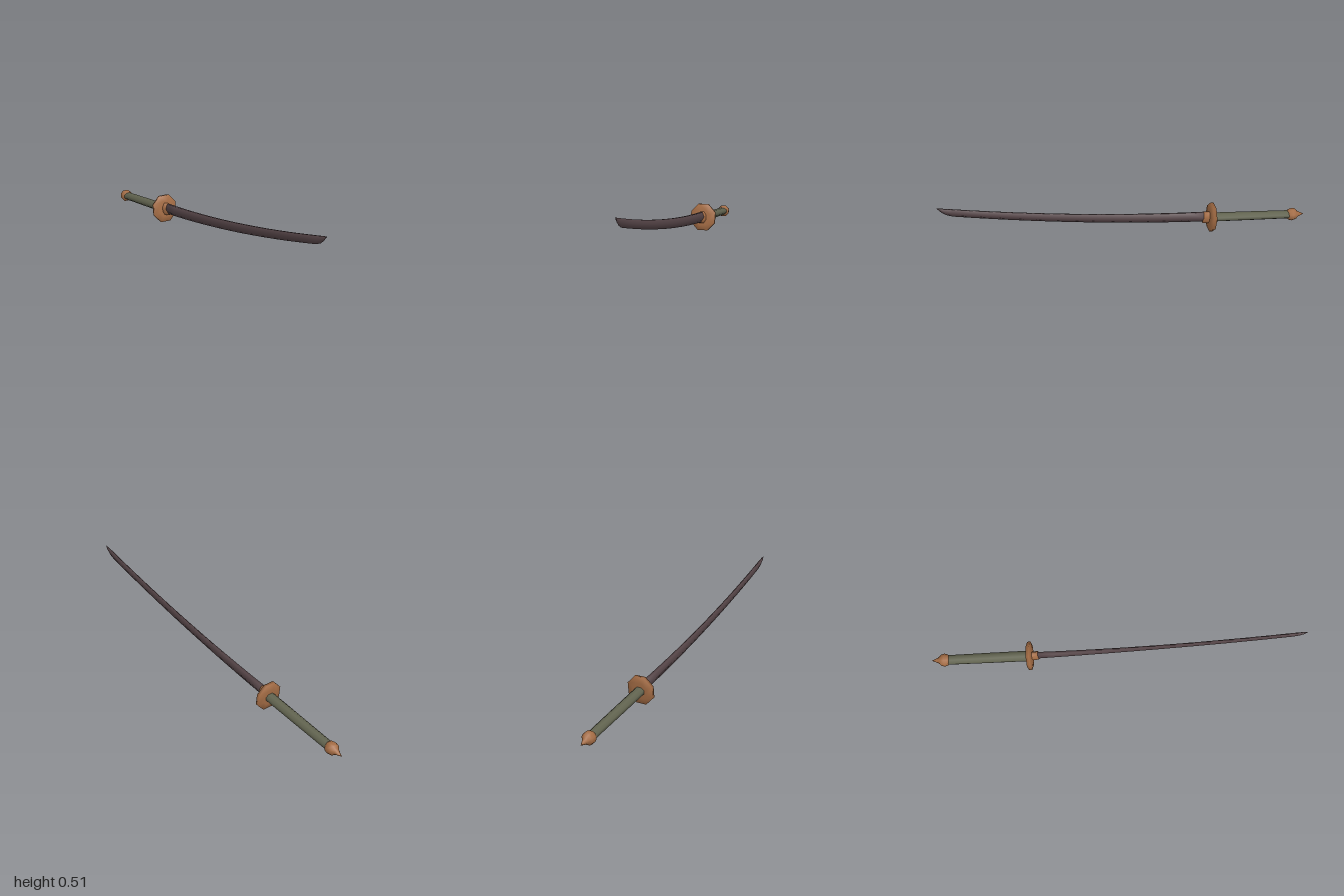
import * as THREE from 'three';

const mat = (name, color) => {
  const m = new THREE.MeshStandardMaterial({ color });
  m.name = name;
  return m;
};

export function createModel() {
  const steel = mat('dark steel', 0x574649);
  const wrap = mat('olive grip', 0x61634f);
  const copper = mat('copper', 0xa56d45);

  const sword = new THREE.Group();
  sword.name = 'sword';
  sword.rotation.y = -Math.atan2(1, 0.955); // lies along the diagonal

  // Hilt frame: origin at the guard, +x towards the blade
  const hilt = new THREE.Group();
  hilt.name = 'hilt';
  hilt.position.set(-0.637, 0.118, 0.014);
  hilt.rotation.z = Math.atan(0.11);
  sword.add(hilt);

  // Eight-sided part turned around the hilt's axis; points are [radius, position]
  const turned = (name, points, material, scaleY = 1, scaleZ = 1) => {
    const g = new THREE.LatheGeometry(points.map(([r, x]) => new THREE.Vector2(r, x)), 8, Math.PI / 8);
    g.rotateZ(-Math.PI / 2);
    g.scale(1, scaleY, scaleZ);
    const mesh = new THREE.Mesh(g, material);
    mesh.name = name;
    hilt.add(mesh);
  };
  turned('grip', [[0.032, -0.64], [0.034, -0.3], [0.035, 0]], wrap, 0.95, 1.15);
  turned('guard', [[0, -0.022], [0.065, -0.021], [0.113, -0.012], [0.113, 0.012], [0.065, 0.021], [0, 0.022]], copper, 1, 0.93);
  turned('collar', [[0.05, 0.01], [0.047, 0.067], [0, 0.068]], copper, 1, 0.62);
  turned('pommel', [[0, -0.752], [0.022, -0.7], [0.043, -0.678], [0.049, -0.652], [0.042, -0.626], [0.024, -0.608], [0, -0.606]], copper);

  // Curved blade: loft of five-sided sections, the edge sweeping up at the tip
  const spine = (s) => 0.24 + 0.1448 * s + 0.0355 * s * s;
  const bow = (s) => 0.014 * (1 - ((s + 0.6) / 1.984) ** 2);
  const stations = [];
  for (let i = 0; i <= 14; i++) {
    const t = i / 14;
    stations.push([-0.59 + t * 1.87, 0.081 - 0.022 * t, 0.012 + 0.014 * (1 - t) ** 3]);
  }
  stations.push([1.325, 0.049, 0.011], [1.355, 0.031, 0.008], [1.384, 0.002, 0.001]);
  const pos = [];
  const index = [];
  stations.forEach(([s, h, w], i) => {
    const y = spine(s), z = bow(s);
    pos.push(s, y, z + w * 0.45, s, y, z - w * 0.45, s, y - h * 0.48, z - w, s, y - h, z, s, y - h * 0.48, z + w);
    if (i === 0) return;
    for (let k = 0; k < 5; k++) {
      const a = (i - 1) * 5 + k, b = (i - 1) * 5 + (k + 1) % 5;
      index.push(a, a + 5, b, b, a + 5, b + 5);
    }
  });
  // End cap inside the collar, and the point
  const last = (stations.length - 1) * 5;
  for (let k = 1; k < 4; k++) index.push(0, k, k + 1, last, last + k + 1, last + k);
  const g = new THREE.BufferGeometry();
  g.setAttribute('position', new THREE.Float32BufferAttribute(pos, 3));
  g.setIndex(index);
  g.computeVertexNormals();
  const blade = new THREE.Mesh(g, steel);
  blade.name = 'blade';
  sword.add(blade);

  const model = new THREE.Group();
  model.name = 'curvedSword';
  model.add(sword);
  return model;
}
